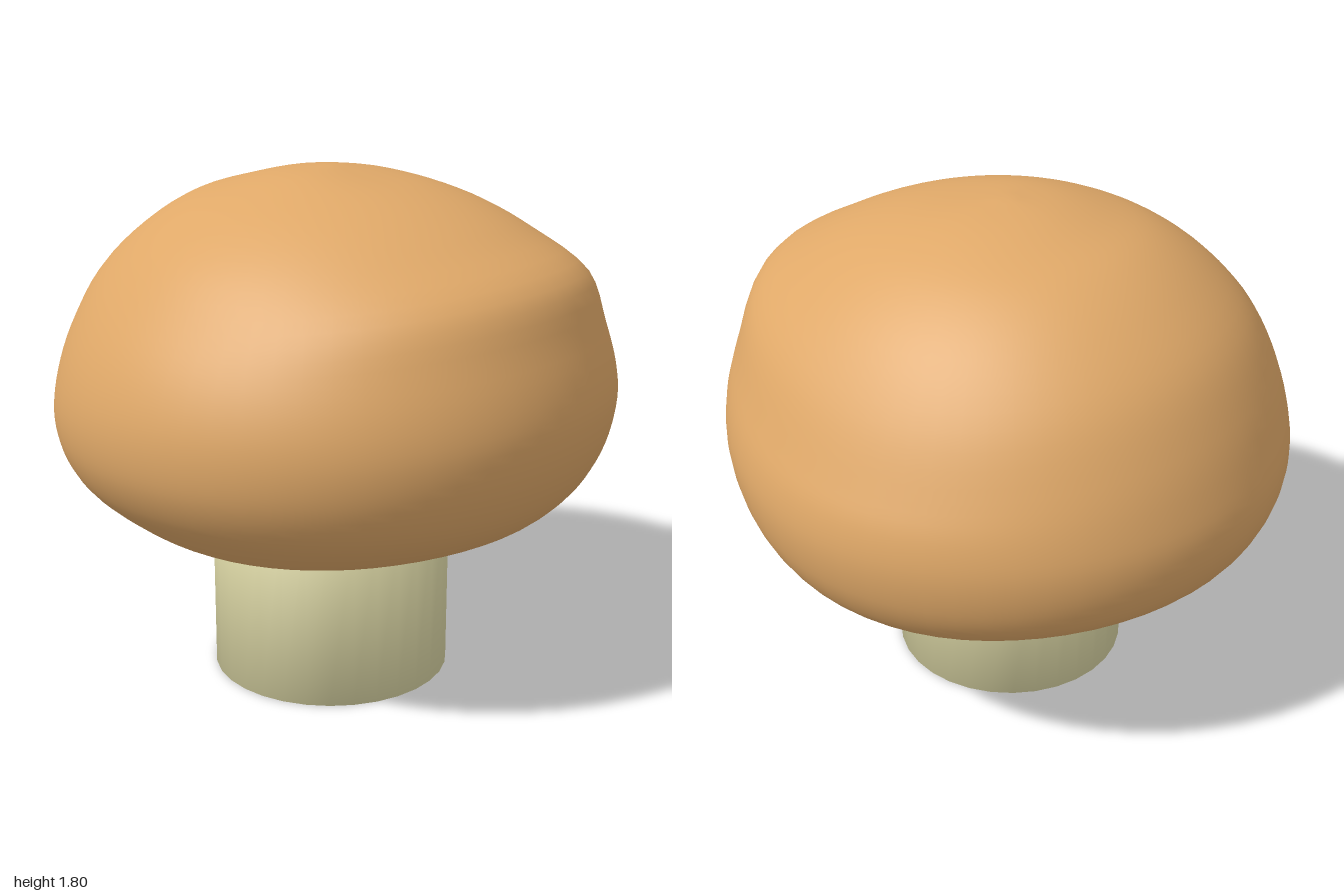
import * as THREE from 'three';
import { mergeVertices } from 'three/addons/utils/BufferGeometryUtils.js';

// Cap outline (radius, height) from crown to underside in four directions
const PROFILES = [
  // +x, with a shoulder high on the side
  [[0, 1.805], [0.2, 1.775], [0.36, 1.745], [0.53, 1.69], [0.7, 1.61], [0.89, 1.49], [0.95, 1.32], [0.99, 1.17],
    [1, 1.05], [0.97, 0.9], [0.9, 0.76], [0.8, 0.66], [0.7, 0.61], [0.42, 0.53], [0, 0.54]],
  // +z
  [[0, 1.805], [0.2, 1.785], [0.36, 1.74], [0.53, 1.665], [0.7, 1.54], [0.83, 1.385], [0.92, 1.24], [0.97, 1.1],
    [0.98, 0.98], [0.96, 0.87], [0.9, 0.76], [0.8, 0.66], [0.7, 0.59], [0.48, 0.525], [0, 0.54]],
  // -x
  [[0, 1.805], [0.17, 1.79], [0.33, 1.755], [0.5, 1.705], [0.66, 1.61], [0.82, 1.46], [0.92, 1.27], [0.975, 1.1],
    [1, 0.97], [0.985, 0.84], [0.92, 0.71], [0.8, 0.62], [0.68, 0.585], [0.4, 0.55], [0, 0.54]],
  // -z
  [[0, 1.805], [0.2, 1.78], [0.35, 1.735], [0.5, 1.66], [0.66, 1.53], [0.8, 1.35], [0.9, 1.16], [0.95, 1.05],
    [0.97, 0.93], [0.955, 0.8], [0.92, 0.71], [0.87, 0.64], [0.77, 0.57], [0.4, 0.525], [0, 0.54]],
];

// Blend the outlines around the vertical axis into one closed smooth skin
function capGeometry(around = 64, rows = 56) {
  const positions = [];
  const index = [];
  for (let j = 0; j < around; j++) {
    const turn = (j / around) * 4;
    const k = Math.floor(turn);
    const t = Math.sin((turn - k) * Math.PI / 2) ** 2;
    const from = PROFILES[k];
    const to = PROFILES[(k + 1) % 4];
    const outline = new THREE.CatmullRomCurve3(from.map(([r, y], i) => new THREE.Vector3(
      THREE.MathUtils.lerp(r, to[i][0], t), THREE.MathUtils.lerp(y, to[i][1], t), 0)));
    const angle = turn * Math.PI / 2;
    for (let i = 0; i <= rows; i++) {
      const p = outline.getPoint(i / rows);
      const r = i === 0 || i === rows ? 0 : p.x;
      positions.push(r * Math.cos(angle), p.y, r * Math.sin(angle));
    }
  }
  for (let j = 0; j < around; j++) {
    const here = j * (rows + 1);
    const next = ((j + 1) % around) * (rows + 1);
    for (let i = 0; i < rows; i++) {
      if (i > 0) index.push(here + i, next + i, here + i + 1);
      if (i < rows - 1) index.push(next + i, next + i + 1, here + i + 1);
    }
  }
  const geometry = new THREE.BufferGeometry();
  geometry.setAttribute('position', new THREE.Float32BufferAttribute(positions, 3));
  geometry.setIndex(index);
  return smooth(geometry);
}

// Weld shared corners so shading runs over every edge
function smooth(geometry) {
  geometry.deleteAttribute('normal');
  geometry.deleteAttribute('uv');
  const welded = mergeVertices(geometry, 1e-4);
  welded.computeVertexNormals();
  return welded;
}

function part(name, geometry, color) {
  const mesh = new THREE.Mesh(geometry, new THREE.MeshStandardMaterial({ color }));
  mesh.name = name;
  return mesh;
}

export function createModel() {
  const group = new THREE.Group();
  group.name = 'mushroom';

  group.add(part('cap', capGeometry(), 0xdfa868));

  // Stem, slightly off centre, running up into the cap
  const stem = part('stem', smooth(new THREE.CylinderGeometry(0.427, 0.427, 0.64, 32)), 0xddd8a6);
  stem.position.set(0.025, 0.32, 0.06);
  group.add(stem);

  return group;
}
